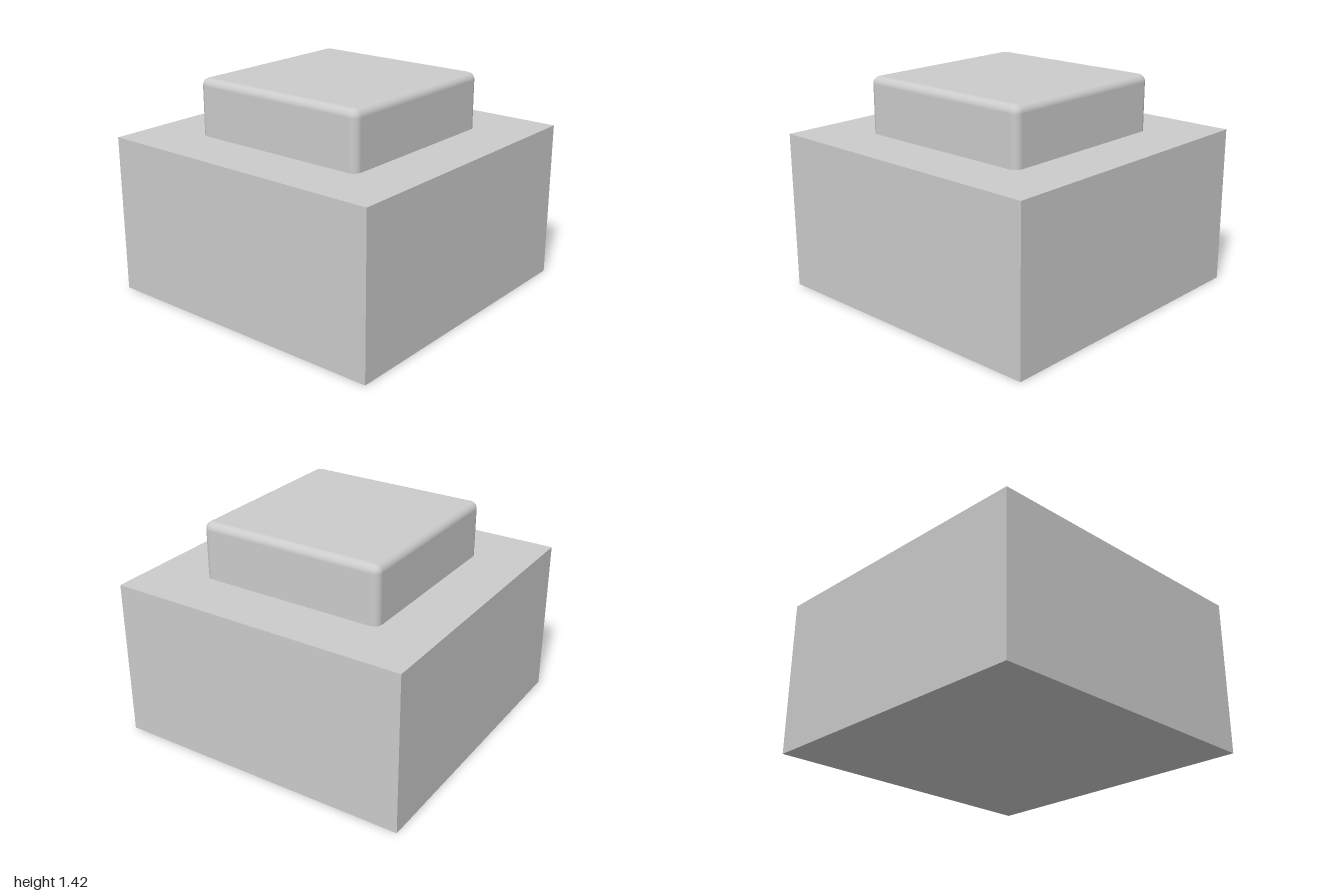
import * as THREE from 'three';
import { RoundedBoxGeometry } from 'three/addons/geometries/RoundedBoxGeometry.js';

export function createModel() {
  const group = new THREE.Group();
  const material = new THREE.MeshStandardMaterial({ color: 0xcccccc });
  const baseHeight = 1.043, top = 1.417, sunk = 0.1;

  // Sharp-edged housing
  const base = new THREE.Mesh(new THREE.BoxGeometry(2, baseHeight, 2), material);
  base.name = 'base';
  base.position.y = baseHeight / 2;

  // Rounded push button, its lower edge sunk into the housing
  const height = top - baseHeight + sunk;
  const button = new THREE.Mesh(new RoundedBoxGeometry(1.254, height, 1.254, 4, 0.05), material);
  button.name = 'button';
  button.position.y = top - height / 2;

  group.add(base, button);
  return group;
}
